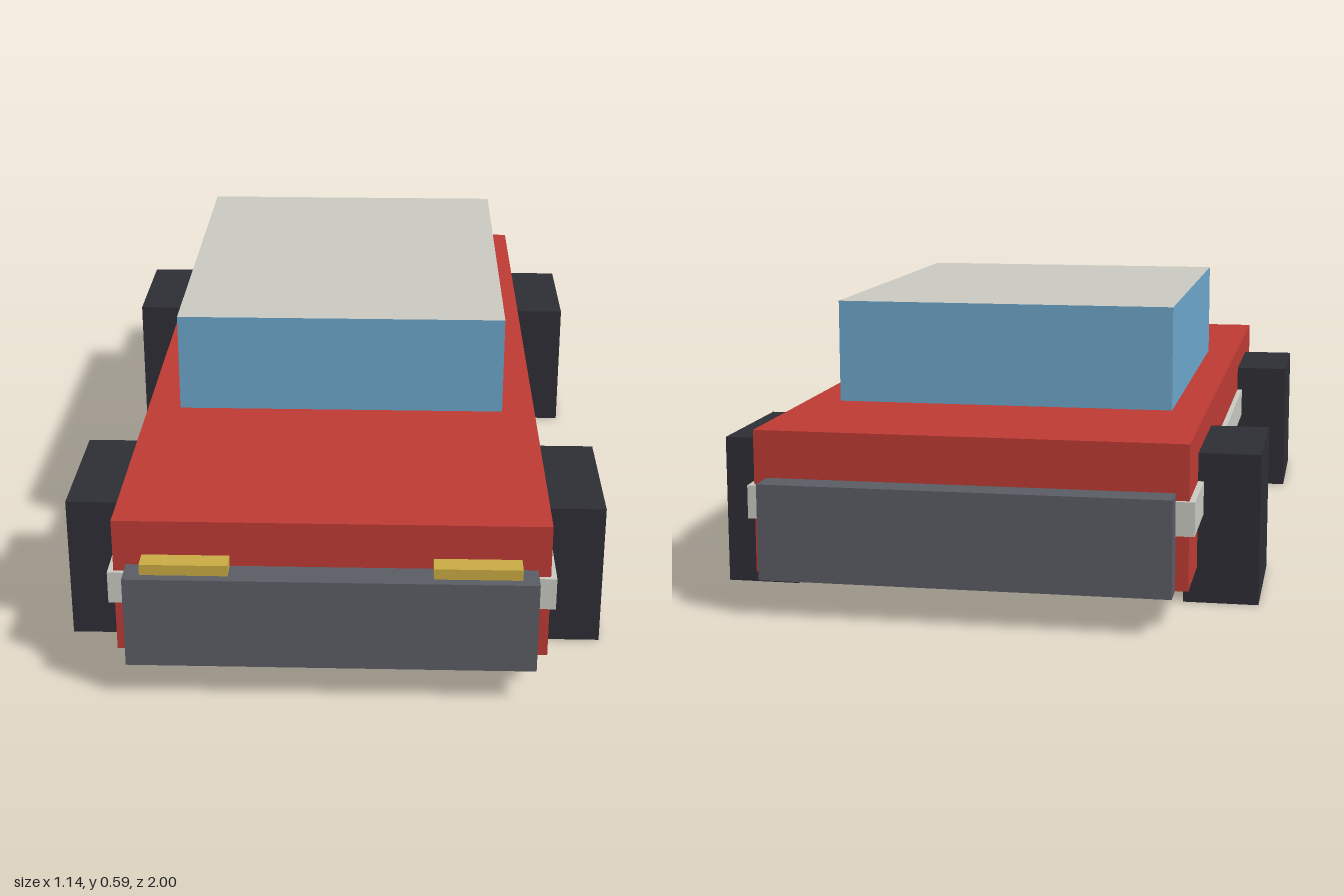
import * as THREE from 'three';

const mat = (name, color) => {
  const m = new THREE.MeshStandardMaterial({ color });
  m.name = name;
  return m;
};

export function createModel() {
  const car = new THREE.Group();
  car.name = 'car';

  const red = mat('red paint', 0xbc3a33);
  const grey = mat('bumper grey', 0x5a5c63);
  const dark = mat('tyre black', 0x2d2d35);
  const glass = mat('window blue', 0x6ca5ca);
  const pale = mat('pale trim', 0xc8c8c0);
  const yellow = mat('headlight yellow', 0xc8a944);

  // Box given by its low and high limits on each axis
  const box = (name, material, [x0, x1], [y0, y1], [z0, z1]) => {
    const mesh = new THREE.Mesh(new THREE.BoxGeometry(x1 - x0, y1 - y0, z1 - z0), material);
    mesh.position.set((x0 + x1) / 2, (y0 + y1) / 2, (z0 + z1) / 2);
    mesh.name = name;
    car.add(mesh);
  };

  // Body with a trim band wrapped around it
  box('body', red, [-0.443, 0.443], [0.075, 0.37], [-0.936, 0.936]);
  box('trimBand', pale, [-0.455, 0.455], [0.188, 0.257], [-0.945, 0.945]);

  // Cabin: glass sides, pale roof face
  box('cabin', [glass, glass, pale, glass, glass, glass], [-0.369, 0.369], [0.37, 0.593], [-0.565, 0.368]);

  // Bumpers
  box('frontBumper', grey, [-0.417, 0.417], [0.075, 0.272], [0.93, 1]);
  box('rearBumper', grey, [-0.417, 0.417], [0.075, 0.272], [-1, -0.93]);

  // Headlights and square wheels, mirrored left and right
  for (const [side, s] of [['left', 1], ['right', -1]]) {
    const span = (a, b) => (s > 0 ? [a, b] : [-b, -a]);
    box(side + 'Headlight', yellow, span(0.206, 0.384), [0.2, 0.295], [0.92, 0.98]);
    box(side + 'FrontWheel', dark, span(0.415, 0.571), [0, 0.316], [0.434, 0.748]);
    box(side + 'RearWheel', dark, span(0.415, 0.571), [0, 0.316], [-0.748, -0.434]);
  }

  return car;
}
